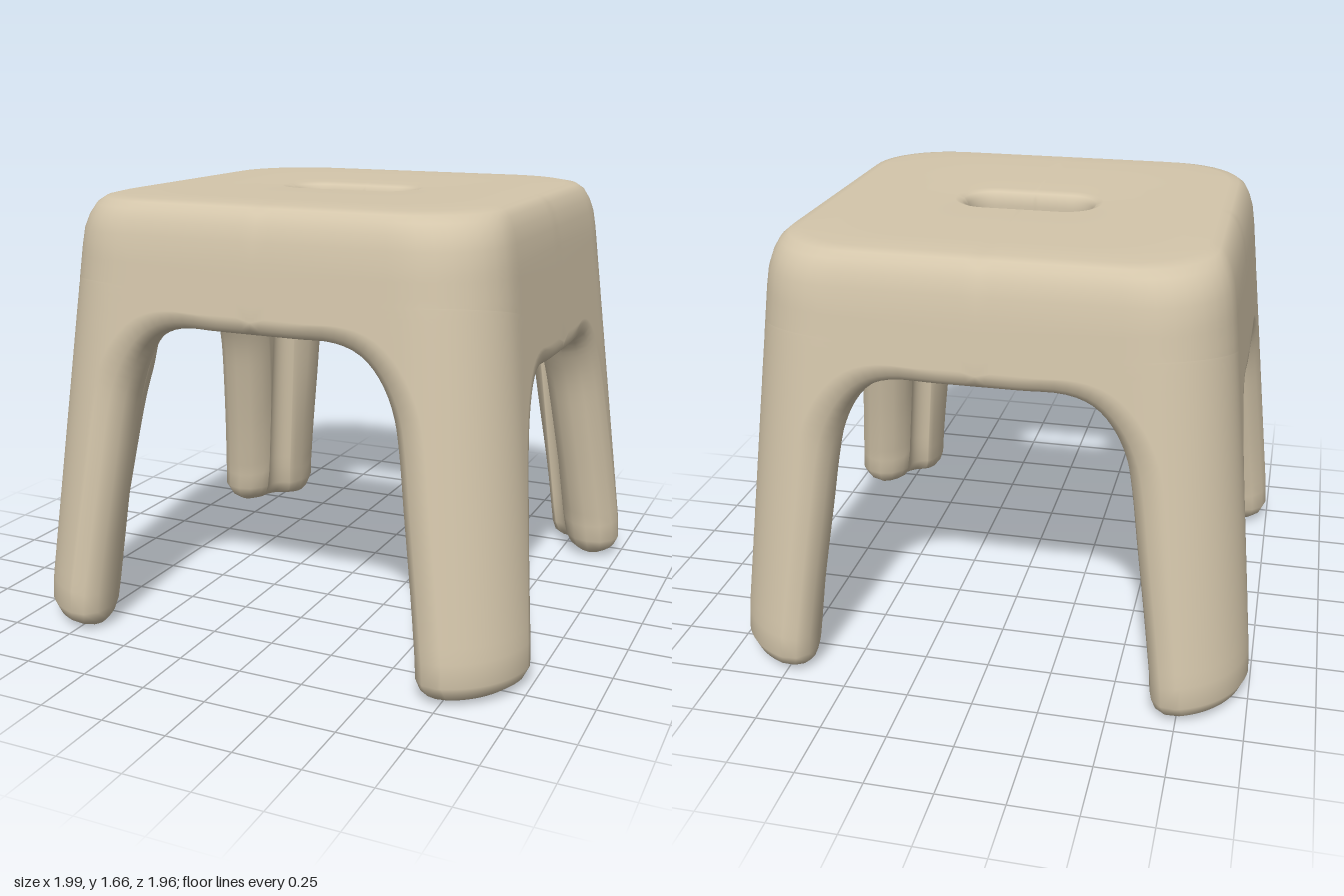
import * as THREE from 'three';
import { mergeVertices } from 'three/addons/utils/BufferGeometryUtils.js';

const N = 28;   // columns from the middle of the front to the middle of the side
const M = 5;    // points rounding each edge of the shell
const K = 30;   // rows from the foot to the middle of the arch
const lerp = THREE.MathUtils.lerp;
const smooth = THREE.MathUtils.smoothstep;

// Edge of the front opening (x, y) and of the side opening (z, y), foot to middle
const curve = (pts) => new THREE.SplineCurve(pts.map(([a, b]) => new THREE.Vector2(a, b)));
const frontArch = curve([[0.64, 0.15], [0.607, 0.4], [0.572, 0.65], [0.545, 0.85], [0.518, 0.98],
  [0.47, 1.09], [0.4, 1.17], [0.3, 1.208], [0.15, 1.21], [0, 1.21]]);
const sideArch = curve([[0.57, 0.15], [0.525, 0.4], [0.47, 0.66], [0.43, 0.82], [0.385, 0.93],
  [0.335, 1.01], [0.27, 1.045], [0.2, 1.05], [0.1, 1.05], [0, 1.05]]);

// Quarter of a rounded rectangle: point and outward normal at length s from the front middle
function plan(s, hx, hz, R) {
  const a = hx - R, b = hz - R, arc = R * Math.PI / 2;
  if (s < a) return { x: s, z: hz, nx: 0, nz: 1 };
  if (s < a + arc) {
    const t = (s - a) / R, nx = Math.sin(t), nz = Math.cos(t);
    return { x: a + R * nx, z: b + R * nz, nx, nz };
  }
  return { x: hx, z: b - (s - a - arc), nx: 1, nz: 0 };
}
const planLength = (hx, hz, R) => hx + hz - 2 * R + R * Math.PI / 2;

// Tapered outer wall
const half = (y) => Math.min(1, 1.008 - 0.107 * y);
const radius = (y) => 0.35 - 0.03 * y;
const wallLength = (y) => planLength(half(y), half(y), radius(y));
function wallPoint(s, y, depth) {
  const p = plan(s, half(y), half(y), radius(y));
  return new THREE.Vector3(p.x - p.nx * depth, y, p.z - p.nz * depth);
}

// One closed section: outer face, side edge, inner face, front edge
function section({ front, side, nf, ns, thick, lift, inset = 0, foot = null }) {
  const r = thick * 0.46;
  const edge = (e, n, v) => {
    const d = r * (1 - Math.sqrt(Math.max(0, 1 - v * v))) + inset;
    return { a: e.x + n.x * d, y: foot === null ? e.y + n.y * d : foot };
  };
  const at = (f, v) => {
    const A = edge(front, nf, v), B = edge(side, ns, v);
    const bulge = Math.sin(Math.PI * f);
    const y = lerp(A.y, B.y, f) + lift * bulge;
    const t = lerp(thick, 0.23, bulge);
    const s = lerp(A.a, wallLength(y) - B.a, f);
    return wallPoint(s, y, inset + (t - 2 * inset) * (1 - v) / 2);
  };
  const loop = [];
  const capV = (i) => Math.cos(Math.PI * i / (M + 1));
  for (let j = 0; j <= N; j++) loop.push(at(j / N, 1));
  for (let i = 1; i <= M; i++) loop.push(at(1, capV(i)));
  for (let j = N; j >= 0; j--) loop.push(at(j / N, -1));
  for (let i = M; i >= 1; i--) loop.push(at(0, capV(i)));
  return loop;
}

// Horizontal ring of the seat
function ring(hx, hz, R, y) {
  const L = planLength(hx, hz, R);
  return Array.from({ length: N + 1 }, (_, j) => {
    const p = plan(L * j / N, hx, hz, R);
    return new THREE.Vector3(p.x, y, p.z);
  });
}
const mixRings = (a, b, t) => a.map((p, j) => p.clone().lerp(b[j], t));

function quarterTriangles() {
  const tris = [];
  const quad = (a, b, c, d) => tris.push([a, b, c], [a, c, d]);
  const rows = [];
  const right = { x: 1, y: 0 }, up = { x: 0, y: 1 };

  // Rounded foot
  const f0 = frontArch.getPoint(0), s0 = sideArch.getPoint(0);
  for (const [y, inset] of [[0, 0.09], [0.012, 0.055], [0.035, 0.025], [0.08, 0.005]]) {
    rows.push(section({ front: f0, side: s0, nf: right, ns: right, thick: 0.24, lift: 0, inset, foot: y }));
  }
  // Leg spreading into the arches
  const inward = (c, u) => { const t = c.getTangent(u); return { x: t.y, y: -t.x }; };
  for (let k = 0; k <= K; k++) {
    const u = k / K, last = k === K;
    const front = frontArch.getPoint(u), side = sideArch.getPoint(u);
    if (last) front.x = side.x = 0;
    rows.push(section({
      front, side,
      nf: last ? up : inward(frontArch, u), ns: last ? up : inward(sideArch, u),
      thick: lerp(0.24, 0.12, smooth(u, 0.4, 0.9)), lift: 0.17 * smooth(u, 0.4, 1),
    }));
  }
  // Closed wall above the arches
  const closedFrom = rows.length - 1, topY = 1.47;
  for (let i = 1; i <= 4; i++) {
    const t = i / 4;
    rows.push(section({
      front: { x: 0, y: lerp(1.21, topY - 0.055, t) }, side: { x: 0, y: lerp(1.05, topY - 0.055, t) },
      nf: up, ns: up, thick: 0.12, lift: 0.17 * (1 - t),
    }));
  }
  const count = rows[0].length;
  for (let k = 0; k < rows.length - 1; k++) {
    for (let j = 0; j < count; j++) {
      const onFace = j < N || (j > N + M && j < 2 * N + M + 1);
      if (k >= closedFrom && !onFace) continue;
      const n = (j + 1) % count;
      quad(rows[k][j], rows[k][n], rows[k + 1][n], rows[k + 1][j]);
    }
  }
  // Sole
  const centre = new THREE.Vector3();
  rows[0].forEach((p) => centre.addScaledVector(p, 1 / count));
  rows[0].forEach((p, j) => tris.push([centre, rows[0][(j + 1) % count], p]));

  // Seat: rounded rim, top, hand hole and underside, ending at the inner wall
  const top = rows[rows.length - 1];
  const outer = top.slice(0, N + 1);
  const inner = top.slice(N + 1 + M, 2 * N + 2 + M).reverse();
  const hole = (o, y) => ring(0.245 + o, 0.11 + o, 0.1 + o, y);
  const rim = [[0.84, 1.54], [0.825, 1.59], [0.805, 1.63], [0.78, 1.652], [0.74, 1.662], [0.62, 1.665]]
    .map(([h, y]) => ring(h, h, 0.3, y));
  const lip = hole(0.045, 1.66), under = hole(0.03, 1.51);
  const ceiling = mixRings(inner, under, 0.12).map((p) => p.setY(1.505));
  const rings = [outer, ...rim, mixRings(rim[5], lip, 0.5), lip,
    hole(0.018, 1.65), hole(0.004, 1.63), hole(0, 1.6), hole(0, 1.55), hole(0.008, 1.525), under,
    mixRings(under, ceiling, 0.5), ceiling, inner];
  for (let k = 0; k < rings.length - 1; k++) {
    for (let j = 0; j < N; j++) {
      quad(rings[k][j], rings[k][j + 1], rings[k + 1][j + 1], rings[k + 1][j]);
    }
  }
  return tris;
}

export function createModel() {
  const sand = new THREE.MeshStandardMaterial({ color: 0xd4c6ab });
  sand.name = 'sand';

  // Mirror the quarter into a full stool and weld the seams
  const positions = [];
  const quarter = quarterTriangles();
  for (const sx of [1, -1]) for (const sz of [1, -1]) {
    for (const [a, b, c] of quarter) {
      const order = sx * sz > 0 ? [a, b, c] : [a, c, b];
      for (const p of order) positions.push(p.x * sx, p.y, p.z * sz);
    }
  }
  let geometry = new THREE.BufferGeometry();
  geometry.setAttribute('position', new THREE.Float32BufferAttribute(positions, 3));
  geometry = mergeVertices(geometry, 1e-4);
  geometry.computeVertexNormals();

  const stool = new THREE.Mesh(geometry, sand);
  stool.name = 'stoolShell';
  const group = new THREE.Group();
  group.name = 'stool';
  group.add(stool);
  return group;
}
